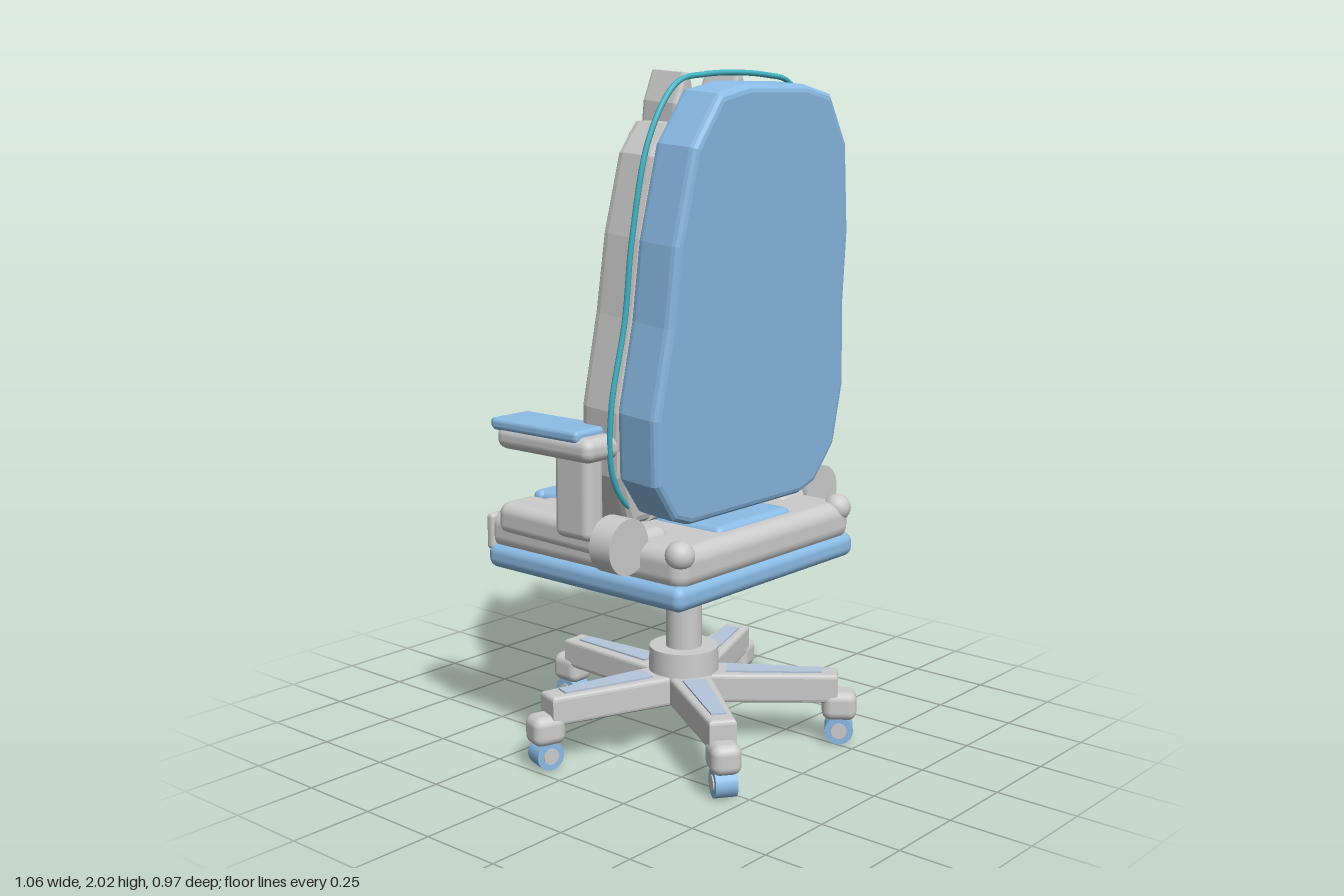
import * as THREE from 'three';
import { RoundedBoxGeometry } from 'three/addons/geometries/RoundedBoxGeometry.js';

const mat = (color) => new THREE.MeshStandardMaterial({ color });
const grey = mat(0xcccccc), blue = mat(0x8bbce6), teal = mat(0x45b8c8), dark = mat(0x5b83a8), inlayBlue = mat(0xb4c6dc);

function add(parent, name, geometry, material, x = 0, y = 0, z = 0) {
  const mesh = new THREE.Mesh(geometry, material);
  mesh.name = name;
  mesh.position.set(x, y, z);
  parent.add(mesh);
  return mesh;
}

function group(parent, name, x = 0, y = 0, z = 0) {
  const g = new THREE.Group();
  g.name = name;
  g.position.set(x, y, z);
  parent.add(g);
  return g;
}

const rbox = (w, h, d, r) => new RoundedBoxGeometry(w, h, d, 3, r);
const cyl = (r0, r1, h, n = 32) => new THREE.CylinderGeometry(r0, r1, h, n);

// Bevelled plate: outline in x/y, filling z from z0 to z1
function slab(points, z0, z1, bevel) {
  const shape = new THREE.Shape(points.map(([x, y]) => new THREE.Vector2(x, y)));
  const geo = new THREE.ExtrudeGeometry(shape, {
    depth: z1 - z0 - 2 * bevel, bevelEnabled: bevel > 0, bevelThickness: bevel,
    bevelSize: bevel, bevelOffset: -bevel, bevelSegments: 3, steps: 1,
  });
  return geo.translate(0, 0, z0 + bevel);
}

// Right half of an outline, bottom to top, completed by its mirror image
const mirrored = (half) => [...half, ...half.map(([x, y]) => [-x, y]).reverse()];

function buildBase(root) {
  const base = group(root, 'base', 0, 0, 0.045);
  add(base, 'hub', cyl(0.105, 0.108, 0.1), grey, 0, 0.245, 0);
  add(base, 'column', cyl(0.055, 0.055, 0.26), grey, 0, 0.38, 0);
  add(base, 'columnSleeve', cyl(0.07, 0.066, 0.085), blue, 0, 0.515, 0);

  const leg = slab([[-0.07, 0], [0.07, 0], [0.04, 0.47], [-0.04, 0.47]], 0, 0.09, 0.012).rotateX(-Math.PI / 2);
  const inlay = slab([[-0.035, 0.13], [0.035, 0.13], [0.022, 0.42], [-0.022, 0.42]], 0, 0.008, 0).rotateX(-Math.PI / 2);
  for (let i = 0; i < 5; i++) {
    const arm = group(base, 'leg');
    arm.rotation.y = (i * Math.PI * 2) / 5;
    add(arm, 'legBeam', leg, grey, 0, 0.132, 0);
    add(arm, 'legInlay', inlay, inlayBlue, 0, 0.219, 0);
    add(arm, 'casterHousing', rbox(0.09, 0.09, 0.105, 0.028), grey, 0, 0.12, -0.475);
    add(arm, 'wheel', cyl(0.043, 0.043, 0.065, 24), blue, 0, 0.043, -0.475).rotation.z = Math.PI / 2;
    add(arm, 'wheelCap', cyl(0.024, 0.024, 0.072, 20), grey, 0, 0.043, -0.475).rotation.z = Math.PI / 2;
  }
}

function buildSeat(root) {
  const seat = group(root, 'seat');
  add(seat, 'seatPan', rbox(0.83, 0.075, 0.765, 0.03), blue, 0, 0.588, 0);
  add(seat, 'seatCushion', rbox(0.81, 0.12, 0.765, 0.045), grey, 0, 0.665, -0.005);
  add(seat, 'seatPanel', rbox(0.345, 0.07, 0.74, 0.025), blue, 0, 0.705, -0.045);
  add(seat, 'seatFrontFlap', rbox(0.36, 0.14, 0.045, 0.02), blue, 0, 0.67, -0.4);
  add(seat, 'seatFrontTrim', rbox(0.27, 0.045, 0.02, 0.008), blue, 0, 0.63, -0.415);
  for (const s of [-1, 1]) {
    const bolster = add(seat, 'seatBolster', rbox(0.155, 0.1, 0.56, 0.035), grey, s * 0.335, 0.702, -0.06);
    bolster.rotation.x = 0.02;
    add(seat, 'seatBolsterEnd', new THREE.SphereGeometry(0.042, 20, 14), grey, s * 0.37, 0.705, 0.345);
    add(seat, 'cornerTab', rbox(0.06, 0.11, 0.03, 0.012), grey, s * 0.38, 0.66, -0.37);
  }
  // Tilt lever under the pan
  add(seat, 'tiltLever', slab([[-0.21, 0.555], [-0.06, 0.5], [-0.04, 0.56]], -0.04, 0.03, 0.005), dark);
}

function buildArmrests(root) {
  for (const s of [-1, 1]) {
    const arm = group(root, s > 0 ? 'leftArmrest' : 'rightArmrest', s * 0.45);
    add(arm, 'armSupport', rbox(0.15, 0.07, 0.37, 0.03), grey, 0, 0.988, -0.035);
    add(arm, 'armPad', rbox(0.15, 0.036, 0.34, 0.014), blue, 0, 1.024, -0.065);
    add(arm, 'armPadTip', rbox(0.113, 0.028, 0.025, 0.007), teal, 0, 1.022, -0.24);
    add(arm, 'armPost', rbox(0.075, 0.27, 0.135, 0.025), grey, 0, 0.855, 0.042);
    add(arm, 'armKnob', cyl(0.08, 0.08, 0.075), grey, 0, 0.725, 0.192).rotation.x = Math.PI / 2;
  }
}

function buildBackrest(root) {
  // Leaning frame: local y runs up the back, local -z faces the sitter
  const back = group(root, 'backrest', 0, 0.76, 0.2);
  back.rotation.x = 0.083;

  const half = [[0.255, 0.005], [0.33, 0.03], [0.415, 0.14], [0.437, 0.33], [0.402, 0.58],
    [0.392, 0.8], [0.345, 1.06], [0.25, 1.2], [0.13, 1.225]];
  add(back, 'backShell', slab(mirrored(half), -0.058, 0.09, 0.022), blue);

  const pipe = [[0.2, -0.015], ...half.slice(1).map(([x, y]) => [x + 0.006, y + (y > 1 ? 0.015 : 0)])];
  const curve = new THREE.CatmullRomCurve3(mirrored(pipe).map(([x, y]) => new THREE.Vector3(x, y, -0.068)));
  add(back, 'piping', new THREE.TubeGeometry(curve, 140, 0.008, 8), teal);

  add(back, 'backCushion', slab(mirrored([[0.27, -0.02], [0.26, 0.4], [0.22, 0.8], [0.2, 1.1], [0.15, 1.155]]),
    -0.135, -0.05, 0.025), grey);
  for (const y of [0.41, 0.58, 0.76]) add(back, 'cushionGroove', rbox(0.28, 0.014, 0.012, 0.005), dark, 0, y, -0.135);

  // Side bolsters
  const wing = [[0.24, -0.02], [0.34, -0.02], [0.405, 0.13], [0.422, 0.32], [0.388, 0.58],
    [0.372, 0.8], [0.33, 1.02], [0.27, 1.105], [0.205, 1.105], [0.205, 0.8], [0.235, 0.4]];
  for (const s of [-1, 1]) {
    const outline = s > 0 ? wing : wing.map(([x, y]) => [-x, y]).reverse();
    add(back, 'backBolster', slab(outline, -0.21, -0.055, 0.03), grey);
  }
  buildHeadPillow(back);
  buildLumbarPillow(back);
}

function buildHeadPillow(back) {
  const head = group(back, 'headPillow', 0, 0.975, -0.228);
  add(head, 'pillow', rbox(0.43, 0.245, 0.16, 0.065), grey);
  const ear = slab([[-0.045, 0], [0.045, 0], [0.043, 0.08], [0.014, 0.165], [-0.014, 0.165], [-0.043, 0.08]],
    -0.065, 0.065, 0.014);
  for (const s of [-1, 1]) {
    add(head, 'ear', ear, grey, s * 0.118, 0.098, 0.02);
    add(head, 'eye', new THREE.SphereGeometry(0.012, 14, 10), dark, s * 0.082, 0.025, -0.08);
    add(head, 'mouth', rbox(0.042, 0.01, 0.012, 0.004), dark, s * 0.016, -0.032, -0.081).rotation.z = s * 0.6;
  }
}

function buildLumbarPillow(back) {
  const lumbar = group(back, 'lumbarPillow', 0, 0.285, -0.237);
  add(lumbar, 'cushion', rbox(0.49, 0.26, 0.14, 0.055), blue);
  // Rabbit patch
  const ball = new THREE.SphereGeometry(1, 24, 16);
  add(lumbar, 'rabbitHead', ball, grey, 0, -0.025, -0.072).scale.set(0.05, 0.042, 0.012);
  for (const s of [-1, 1]) {
    add(lumbar, 'strap', rbox(0.07, 0.22, 0.035, 0.012), grey, s * 0.208, 0, -0.063);
    const ear = add(lumbar, 'rabbitEar', ball, grey, s * 0.022, 0.04, -0.072);
    ear.scale.set(0.013, 0.042, 0.01);
    ear.rotation.z = -s * 0.15;
    add(lumbar, 'rabbitEye', ball, dark, s * 0.018, -0.02, -0.082).scale.setScalar(0.006);
  }
  add(lumbar, 'rabbitNose', ball, dark, 0, -0.035, -0.083).scale.setScalar(0.005);
}

export function createModel() {
  const root = new THREE.Group();
  root.name = 'deskChair';
  buildBase(root);
  buildSeat(root);
  buildArmrests(root);
  buildBackrest(root);
  return root;
}
